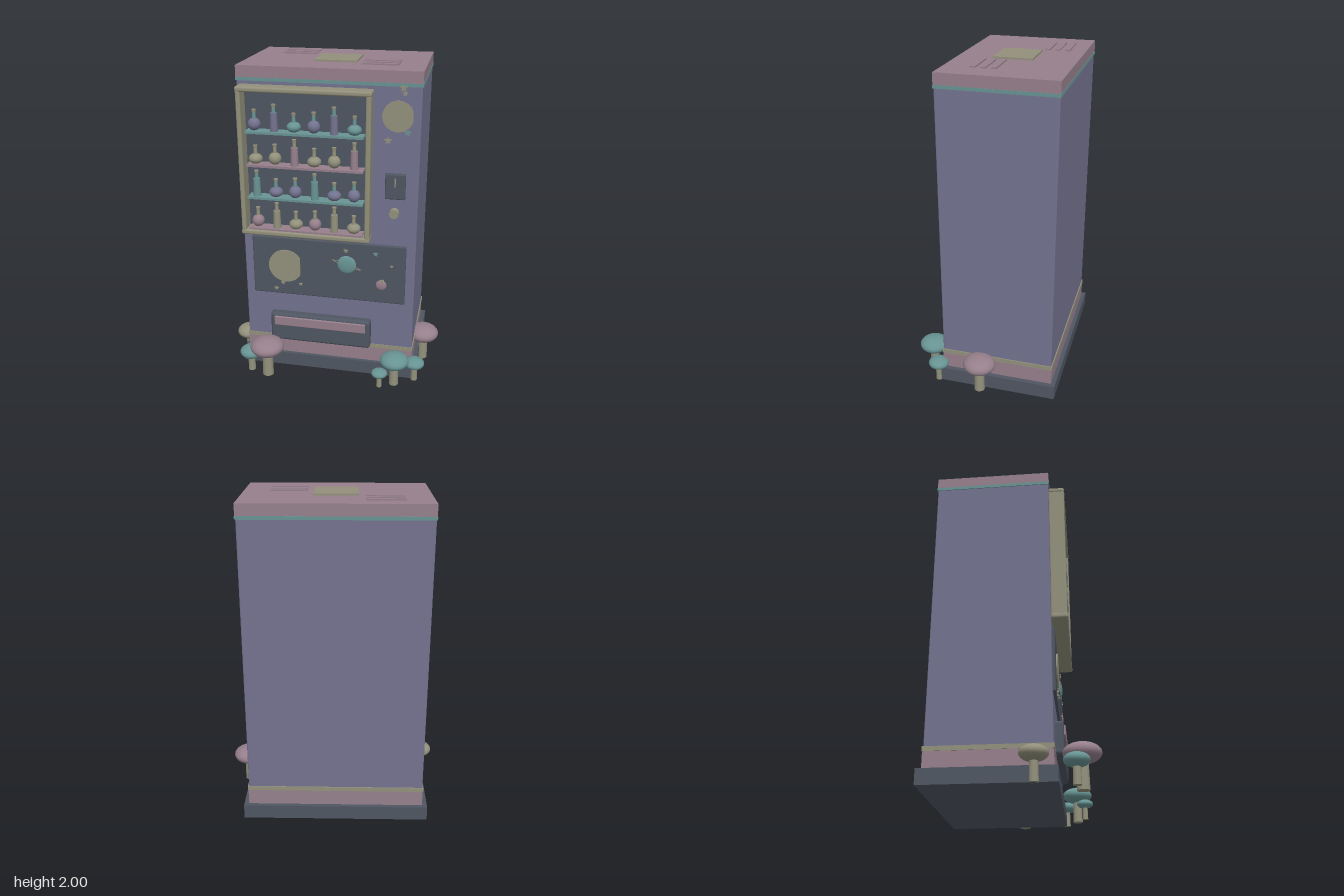
import * as THREE from 'three';
import { RoundedBoxGeometry } from 'three/addons/geometries/RoundedBoxGeometry.js';

const material = (name, color) => {
  const m = new THREE.MeshStandardMaterial({ color });
  m.name = name;
  return m;
};

export function createModel() {
  const model = new THREE.Group();
  model.name = 'vendingMachine';
  const purple = material('dusty purple', 0x73728f);
  const pink = material('dusty pink', 0x957f8b);
  const cream = material('khaki cream', 0x92907b);
  const teal = material('muted teal', 0x689393);
  const dark = material('slate', 0x4f5662);

  function add(name, geometry, mat, x = 0, y = 0, z = 0, parent = model) {
    const mesh = new THREE.Mesh(geometry, mat);
    mesh.name = name;
    mesh.position.set(x, y, z);
    parent.add(mesh);
    return mesh;
  }
  // Box given by its limits; r > 0 rounds the edges
  function box(name, mat, x0, x1, y0, y1, z0, z1, r = 0) {
    const size = [x1 - x0, y1 - y0, z1 - z0];
    const g = r ? new RoundedBoxGeometry(...size, 3, r) : new THREE.BoxGeometry(...size);
    return add(name, g, mat, (x0 + x1) / 2, (y0 + y1) / 2, (z0 + z1) / 2);
  }
  function ball(name, mat, r, x, y, z, sy = 1, sz = 1, parent = model) {
    const m = add(name, new THREE.SphereGeometry(r, 28, 18), mat, x, y, z, parent);
    m.scale.set(1, sy, sz);
    return m;
  }

  // Cabinet
  box('plinth', dark, -0.6, 0.555, 0, 0.09, -0.493, 0.257);
  box('baseBand', pink, -0.569, 0.525, 0.09, 0.19, -0.467, 0.235);
  box('baseTrim', cream, -0.572, 0.528, 0.19, 0.217, -0.47, 0.238);
  box('cabinet', purple, -0.567, 0.522, 0.21, 1.91, -0.464, 0.234, 0.008);
  box('topTrim', teal, -0.571, 0.527, 1.902, 1.922, -0.469, 0.237);
  box('topCap', pink, -0.569, 0.525, 1.92, 1.99, -0.467, 0.235);

  // Roof plate and vents
  box('roofPlate', cream, -0.15, 0.11, 1.985, 2, -0.216, 0.02);
  for (let i = 0; i < 3; i++) {
    const d = i * 0.06;
    box('roofVentRight', pink, -0.408, -0.19, 1.985, 1.998, -0.373 + d, -0.344 + d);
    box('roofVentLeft', pink, 0.148, 0.367, 1.985, 1.998, -0.075 + d, -0.045 + d);
  }

  // Display window
  box('windowBack', dark, -0.53, 0.235, 0.98, 1.87, 0.23, 0.24);
  box('frameTop', cream, -0.55, 0.25, 1.853, 1.885, 0.232, 0.331, 0.012);
  box('frameBottom', cream, -0.55, 0.25, 0.966, 1.0, 0.232, 0.331, 0.012);
  box('frameRight', cream, -0.547, -0.518, 0.985, 1.865, 0.232, 0.329, 0.01);
  box('frameLeft', cream, 0.216, 0.247, 0.985, 1.865, 0.232, 0.329, 0.01);

  // Bottles: round, flat or tall, each with neck and stopper
  function bottle(kind, mat, neckMat, x, y) {
    const g = new THREE.Group();
    g.name = kind + 'Bottle';
    g.position.set(x, y, 0.282);
    let top = 0.08;
    if (kind === 'round') ball('bottleBody', mat, 0.038, 0, 0.038, 0, 1, 1, g);
    else if (kind === 'flat') {
      ball('bottleBody', mat, 0.042, 0, 0.031, 0, 0.74, 1, g);
      top = 0.068;
    } else {
      add('bottleBody', new THREE.CylinderGeometry(0.021, 0.024, 0.11, 20), mat, 0, 0.055, 0, g);
      top = 0.115;
    }
    add('neck', new THREE.CylinderGeometry(0.01, 0.012, 0.04, 14), neckMat, 0, top + 0.01, 0, g);
    add('stopper', new THREE.CylinderGeometry(0.014, 0.012, 0.016, 14), cream, 0, top + 0.037, 0, g);
    model.add(g);
  }
  const rows = [
    [1.614, teal, teal, [['round', purple], ['tall', purple], ['flat', teal]]],
    [1.41, pink, cream, [['flat', cream], ['round', cream], ['tall', pink]]],
    [1.206, teal, teal, [['tall', teal], ['flat', purple], ['round', purple]]],
    [1.004, pink, cream, [['round', pink], ['tall', cream], ['flat', cream]]],
  ];
  for (const [y, shelfMat, neckMat, kinds] of rows) {
    box('shelf', shelfMat, -0.502, 0.204, y - 0.007, y + 0.007, 0.238, 0.32);
    for (let i = 0; i < 6; i++) {
      const [kind, mat] = kinds[i % 3];
      bottle(kind, mat, neckMat, -0.452 + i * 0.1196, y + 0.007);
    }
  }

  // Thin cut-outs: stars and moons with a straight cut on one side
  function plate(name, shape, mat, x, y, z, depth = 0.008) {
    const g = new THREE.ExtrudeGeometry(shape, { depth, bevelEnabled: false, curveSegments: 40 });
    return add(name, g, mat, x, y, z);
  }
  function star(mat, r, x, y, z) {
    const points = [];
    for (let i = 0; i < 10; i++) {
      const a = Math.PI / 2 + i * Math.PI / 5, q = i % 2 ? r * 0.45 : r;
      points.push(new THREE.Vector2(q * Math.cos(a), q * Math.sin(a)));
    }
    plate('star', new THREE.Shape(points), mat, x, y, z);
  }
  function moon(r, cut, x, y, z) {
    const a = Math.acos(cut / r);
    const s = new THREE.Shape();
    s.absarc(0, 0, r, a, Math.PI * 2 - a, false);
    s.closePath();
    plate('moon', s, cream, x, y, z);
  }

  // Decorated lower panel
  box('lowerPanel', dark, -0.51, 0.466, 0.532, 0.927, 0.228, 0.25, 0.008);
  moon(0.11, 0.094, -0.295, 0.735, 0.25);
  ball('planet', teal, 0.06, 0.098, 0.778, 0.25, 1, 0.25);
  const ring = add('planetRing', new THREE.TorusGeometry(0.088, 0.008, 8, 40), cream, 0.098, 0.778, 0.255);
  ring.scale.set(1, 0.1, 0.3);
  ring.rotation.z = -0.3;
  ball('smallPlanet', pink, 0.034, 0.317, 0.657, 0.25, 1, 0.3);
  star(cream, 0.013, 0.322, 0.69, 0.25);
  for (const [x, y, r, m] of [[0.093, 0.875, 0.016, cream], [0.28, 0.868, 0.016, teal],
    [0.38, 0.793, 0.01, cream], [-0.36, 0.572, 0.015, cream], [-0.315, 0.615, 0.015, cream],
    [-0.2, 0.615, 0.013, cream]]) star(m, r, x, y, 0.25);

  // Upper side ornaments
  moon(0.091, 0.087, 0.389, 1.732, 0.234);
  for (const [x, y, r, m] of [[0.415, 1.897, 0.025, cream], [0.425, 1.865, 0.017, cream],
    [0.335, 1.588, 0.024, cream], [0.447, 1.64, 0.022, teal]]) star(m, r, x, y, 0.236);

  // Coin slot and knob
  box('coinPanel', dark, 0.326, 0.447, 1.235, 1.393, 0.23, 0.26, 0.008);
  box('coinSlot', cream, 0.382, 0.39, 1.312, 1.37, 0.255, 0.264);
  const knob = add('knob', new THREE.CylinderGeometry(0.028, 0.03, 0.04, 28), cream, 0.384, 1.145, 0.251);
  knob.rotation.x = Math.PI / 2;

  // Dispenser tray
  box('dispenser', dark, -0.4, 0.256, 0.203, 0.4, 0.2, 0.284, 0.02);
  box('dispenserFlap', pink, -0.372, 0.226, 0.318, 0.382, 0.275, 0.293, 0.006);

  // Mushrooms: x, z, cap radius, cap bottom, cap top, stem radius
  for (const [mat, x, z, r, y0, y1, s] of [
    [pink, -0.4, 0.38, 0.109, 0.148, 0.265, 0.036], [teal, -0.52, 0.35, 0.073, 0.095, 0.176, 0.024],
    [cream, -0.6, 0.13, 0.081, 0.109, 0.199, 0.026], [teal, 0.424, 0.332, 0.092, 0.122, 0.22, 0.03],
    [teal, 0.547, 0.26, 0.064, 0.087, 0.157, 0.021], [teal, 0.336, 0.38, 0.051, 0.07, 0.123, 0.017],
    [pink, 0.576, -0.02, 0.101, 0.132, 0.243, 0.033]]) {
    const yc = (y0 + y1) / 2;
    const g = new THREE.Group();
    g.name = 'mushroom';
    g.position.set(x, 0, z);
    add('stem', new THREE.CylinderGeometry(s * 0.88, s, yc, 20), cream, 0, yc / 2, 0, g);
    ball('cap', mat, r, 0, yc, 0, (y1 - y0) / 2 / r, 1, g);
    model.add(g);
  }
  return model;
}
